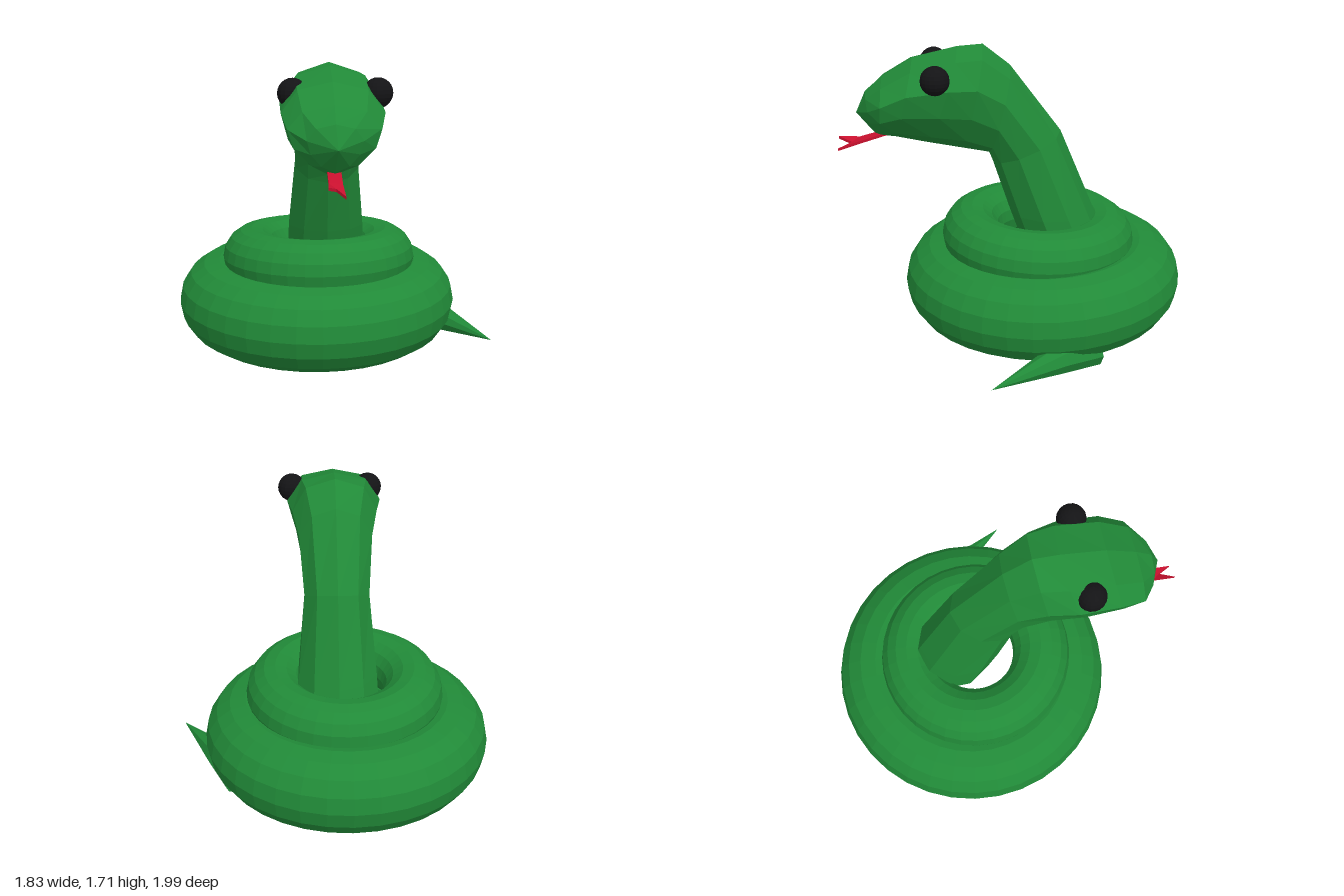
import * as THREE from 'three';

const flat = (color) => new THREE.MeshStandardMaterial({ color, flatShading: true });

// Skins a list of equally long closed rings of points; a ring of one repeated point closes an end.
function loft(rings) {
  const pos = [];
  const tri = (a, b, c) => {
    if (a.distanceTo(b) < 1e-6 || b.distanceTo(c) < 1e-6 || c.distanceTo(a) < 1e-6) return;
    for (const p of [a, b, c]) pos.push(p.x, p.y, p.z);
  };
  for (let i = 0; i < rings.length - 1; i++) {
    const n = rings[i].length;
    for (let j = 0; j < n; j++) {
      const k = (j + 1) % n;
      tri(rings[i][j], rings[i][k], rings[i + 1][k]);
      tri(rings[i][j], rings[i + 1][k], rings[i + 1][j]);
    }
  }
  const g = new THREE.BufferGeometry();
  g.setAttribute('position', new THREE.Float32BufferAttribute(pos, 3));
  g.computeVertexNormals();
  return g;
}

export function createModel() {
  const root = new THREE.Group();
  root.name = 'snake';
  const green = flat(0x218a38), red = flat(0xc8102e), black = flat(0x141416);
  red.side = THREE.DoubleSide;

  const add = (name, geometry, material, x = 0, y = 0, z = 0) => {
    const m = new THREE.Mesh(geometry, material);
    m.name = name;
    m.position.set(x, y, z);
    root.add(m);
    return m;
  };

  // Coiled body: two slightly tilted rings
  const coil = (name, R, r, x, y, z, tilt) => {
    const g = new THREE.TorusGeometry(R, r, 16, 36).rotateX(Math.PI / 2);
    add(name, g, green, x, y, z).rotation.x = tilt;
  };
  coil('lowerCoil', 0.587, 0.238, -0.09, 0.28, -0.17, 0.018);
  coil('upperCoil', 0.4, 0.17, -0.08, 0.542, -0.14, -0.045);

  // Neck and head: each row is underside z, y, upper side z, y, half width, head shape 0..1
  const sections = [
    [-0.03, 0.55, -0.53, 0.55, 0.24, 0],
    [0.03, 0.72, -0.46, 0.72, 0.23, 0],
    [0.13, 1.03, -0.26, 1.2, 0.19, 0],
    [0.15, 1.08, 0.03, 1.59, 0.21, 0.5],
    [0.3, 1.11, 0.18, 1.71, 0.24, 1],
    [0.5, 1.15, 0.32, 1.7, 0.27, 1],
    [0.68, 1.19, 0.57, 1.64, 0.265, 1],
    [0.76, 1.2, 0.74, 1.54, 0.235, 1],
    [0.79, 1.215, 0.835, 1.46, 0.14, 1],
  ];
  const neckShape = [[0, 0], [0.59, 0.1], [0.95, 0.35], [0.95, 0.65], [0.59, 0.9], [0, 1]];
  const headShape = [[0, 0], [0.5, 0.13], [0.87, 0.38], [1, 0.66], [0.68, 0.91], [0, 1]];
  const cx = -0.035;
  const rings = sections.map(([z0, y0, z1, y1, w, k]) => {
    const point = (j, side) => {
      const s = THREE.MathUtils.lerp(neckShape[j][0], headShape[j][0], k);
      const t = THREE.MathUtils.lerp(neckShape[j][1], headShape[j][1], k);
      return new THREE.Vector3(cx + side * s * w, y0 + (y1 - y0) * t, z0 + (z1 - z0) * t);
    };
    return [0, 1, 2, 3, 4, 5].map((j) => point(j, 1)).concat([4, 3, 2, 1].map((j) => point(j, -1)));
  });
  const end = (n, x, y, z) => Array.from({ length: n }, () => new THREE.Vector3(x, y, z));
  add('neckAndHead', loft([end(10, cx, 0.55, -0.28), ...rings, end(10, -0.025, 1.34, 0.89)]), green);

  // Eyes
  for (const side of [1, -1]) {
    const eye = new THREE.SphereGeometry(0.08, 18, 12);
    add(side > 0 ? 'leftEye' : 'rightEye', eye, black, -0.015 + side * 0.222, 1.57, 0.45);
  }

  // Forked tongue, sloping down with the right prong lifted
  const fork = new THREE.Shape([
    [-0.035, -0.05], [0.035, -0.05], [0.035, 0.12], [0.043, 0.24],
    [0, 0.165], [-0.043, 0.24], [-0.035, 0.12],
  ].map(([x, y]) => new THREE.Vector2(x, y)));
  const tongue = new THREE.ExtrudeGeometry(fork, { depth: 0.015, bevelEnabled: false });
  tongue.rotateX(Math.PI / 2);
  const p = tongue.attributes.position;
  for (let i = 0; i < p.count; i++) {
    const z = p.getZ(i);
    const lift = p.getX(i) < -0.01 && z > 0.1 ? (z - 0.1) * 0.32 : 0;
    p.setY(i, p.getY(i) - 0.3 * z + lift);
  }
  tongue.computeVertexNormals();
  add('tongue', tongue, red, -0.038, 1.212, 0.76);

  // Pointed tail leaving the lower coil
  const up = new THREE.Vector3(0, 1, 0);
  const tailRing = (x, y, z, r) => {
    const side = up.clone().cross(new THREE.Vector3(0.5, 0, 0.87));
    return Array.from({ length: 8 }, (_, j) => {
      const a = (j / 8) * Math.PI * 2;
      return new THREE.Vector3(x, y, z)
        .addScaledVector(side, Math.cos(a) * r).addScaledVector(up, Math.sin(a) * r);
    });
  };
  add('tail', loft([
    end(8, 0.55, 0.09, -0.39), tailRing(0.55, 0.09, -0.39, 0.085),
    tailRing(0.66, 0.115, -0.18, 0.085), end(8, 0.91, 0.1, 0.21),
  ]), green);

  return root;
}
